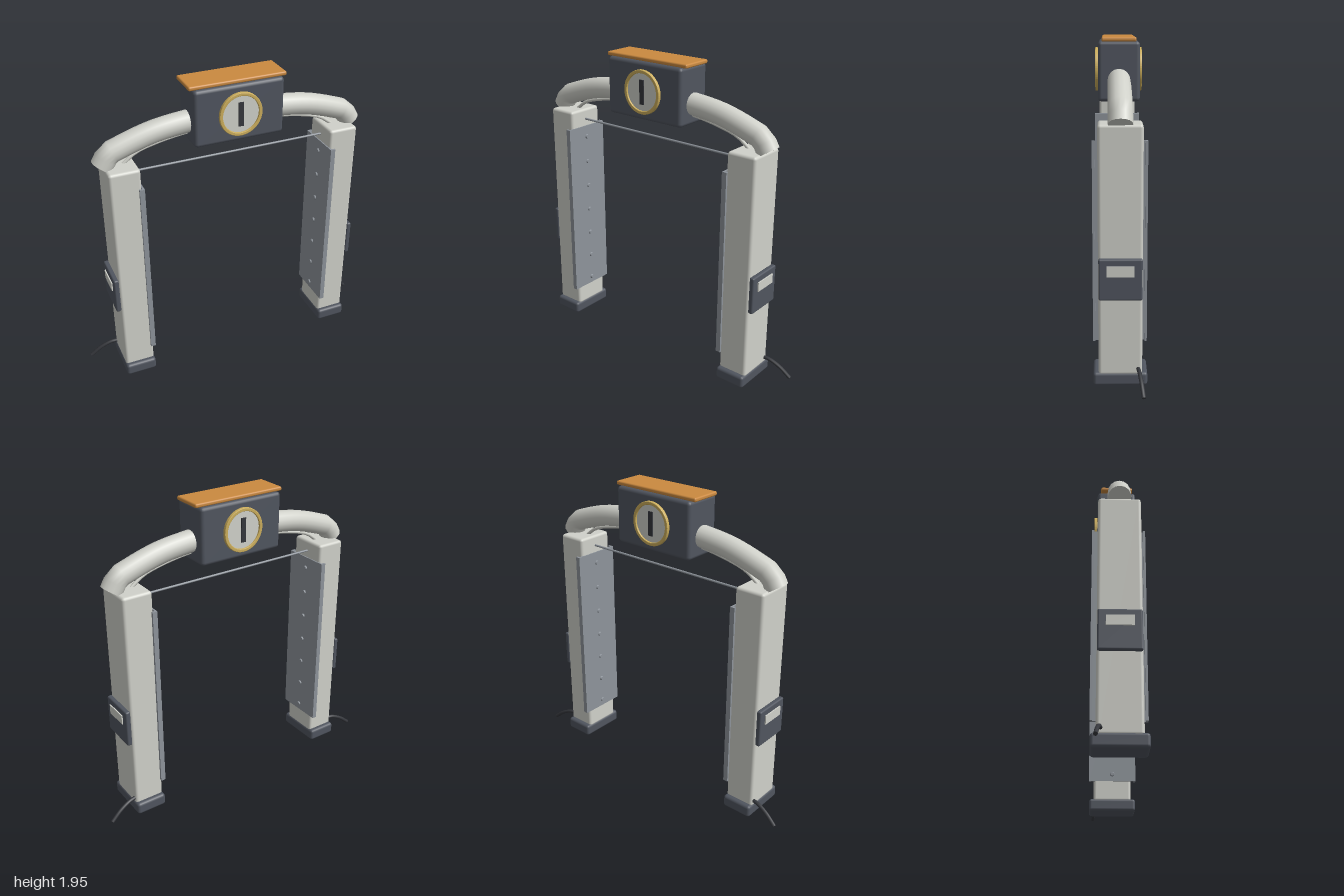
import * as THREE from 'three';
import { RoundedBoxGeometry } from 'three/addons/geometries/RoundedBoxGeometry.js';

const material = (name, color, side = THREE.FrontSide) => {
  const m = new THREE.MeshStandardMaterial({ color, side });
  m.name = name;
  return m;
};

export function createModel() {
  const root = new THREE.Group();
  root.name = 'walkThroughGate';

  const paleGrey = material('paleGrey', 0xd0d1ca, THREE.DoubleSide);
  const slate = material('slate', 0x50555f);
  const steel = material('steel', 0x8e949b);
  const black = material('black', 0x35373c);
  const orange = material('orange', 0xcb8a40);
  const gold = material('gold', 0xccae5c);

  const add = (parent, name, geometry, mat, x = 0, y = 0, z = 0) => {
    const mesh = new THREE.Mesh(geometry, mat);
    mesh.name = name;
    mesh.position.set(x, y, z);
    parent.add(mesh);
    return mesh;
  };
  const box = (w, h, d, r = 0) =>
    r ? new RoundedBoxGeometry(w, h, d, 2, r) : new THREE.BoxGeometry(w, h, d);
  const curve = (points) =>
    new THREE.CatmullRomCurve3(points.map((p) => new THREE.Vector3(...p)));

  // Two posts, with everything mounted on them
  for (const s of [1, -1]) {
    const side = new THREE.Group();
    side.name = s > 0 ? 'leftPost' : 'rightPost';
    root.add(side);

    add(side, 'base', box(0.2, 0.08, 0.31, 0.018), slate, s * 0.717, 0.04);
    add(side, 'post', box(0.192, 1.44, 0.25, 0.018), paleGrey, s * 0.717, 0.785);

    // Inner channel panel with two lips and a row of studs
    add(side, 'panel', box(0.012, 1.19, 0.316), steel, s * 0.62, 0.795);
    for (const z of [-0.151, 0.151]) {
      add(side, 'panelLip', box(0.02, 1.19, 0.014), steel, s * 0.635, 0.795, z);
    }
    for (let i = 0; i < 7; i++) {
      const stud = add(side, 'stud', new THREE.CylinderGeometry(0.012, 0.016, 0.01, 12),
        steel, s * 0.61, 0.247 + i * 0.178);
      stud.rotation.z = s * Math.PI / 2;
    }

    // Control unit on the outer face
    add(side, 'controlBox', box(0.032, 0.24, 0.245, 0.01), slate, s * 0.826, 0.645);
    add(side, 'screen', box(0.009, 0.06, 0.155), paleGrey, s * 0.845, 0.695);

    // Power cable drooping to the floor
    const cable = curve([
      [s * 0.80, 0.105, -0.1], [s * 0.85, 0.1, -0.107],
      [s * 0.92, 0.068, -0.117], [s * 0.99, 0.013, -0.127],
    ]);
    add(side, 'cable', new THREE.TubeGeometry(cable, 14, 0.012, 8), black);
    const end = add(side, 'cableEnd', new THREE.CircleGeometry(0.012, 8), black, s * 0.99, 0.013, -0.127);
    end.lookAt(end.position.clone().add(cable.getTangent(1)));
  }

  // Arch joining the posts
  const half = [[0.817, 1.508], [0.772, 1.577], [0.7, 1.608], [0.5, 1.668], [0.285, 1.696]];
  const mirrored = (pts, mid) => curve([
    ...pts.map(([x, y]) => [-x, y, 0]), [0, mid, 0],
    ...[...pts].reverse().map(([x, y]) => [x, y, 0]),
  ]);
  const arch = mirrored(half, 1.71);
  add(root, 'arch', new THREE.TubeGeometry(arch, 32, 0.068, 16), paleGrey);
  for (const t of [0, 1]) {
    const cap = add(root, 'archEnd', new THREE.CircleGeometry(0.068, 16), paleGrey);
    cap.position.copy(arch.getPoint(t));
    cap.lookAt(cap.position.clone().addScaledVector(arch.getTangent(t), t ? 1 : -1));
  }

  // Thin conduit below the arch
  const conduit = mirrored([[0.7, 1.49], [0.61, 1.556], [0.47, 1.597], [0.29, 1.625]], 1.64);
  add(root, 'conduit', new THREE.TubeGeometry(conduit, 32, 0.011, 8), paleGrey);

  // Cross bar between the posts
  const bar = add(root, 'crossBar', new THREE.CylinderGeometry(0.007, 0.007, 1.25, 10), steel, 0, 1.437);
  bar.rotation.z = Math.PI / 2;

  // Head unit and its lid
  add(root, 'head', box(0.57, 0.355, 0.25, 0.022), slate, 0, 1.747);
  add(root, 'lid', box(0.616, 0.026, 0.206, 0.01), orange, 0, 1.935);

  // Round dial on both faces of the head
  const ringShape = new THREE.Shape().absarc(0, 0, 0.132, 0, Math.PI * 2);
  ringShape.holes.push(new THREE.Path().absarc(0, 0, 0.119, 0, Math.PI * 2, true));
  const ringGeo = new THREE.ExtrudeGeometry(ringShape, {
    depth: 0.015, bevelEnabled: true, bevelThickness: 0.004, bevelSize: 0.004,
    bevelSegments: 2, curveSegments: 32,
  });
  for (const s of [1, -1]) {
    const dial = new THREE.Group();
    dial.name = s > 0 ? 'frontDial' : 'backDial';
    dial.position.set(0, 1.745, s * 0.125);
    if (s < 0) dial.rotation.y = Math.PI;
    root.add(dial);
    add(dial, 'dialRing', ringGeo, gold);
    const face = add(dial, 'dialFace', new THREE.CylinderGeometry(0.12, 0.12, 0.009, 40), paleGrey, 0, 0, 0.004);
    face.rotation.x = Math.PI / 2;
    add(dial, 'dialSlot', box(0.032, 0.15, 0.009), black, 0, 0, 0.012);
  }

  return root;
}
